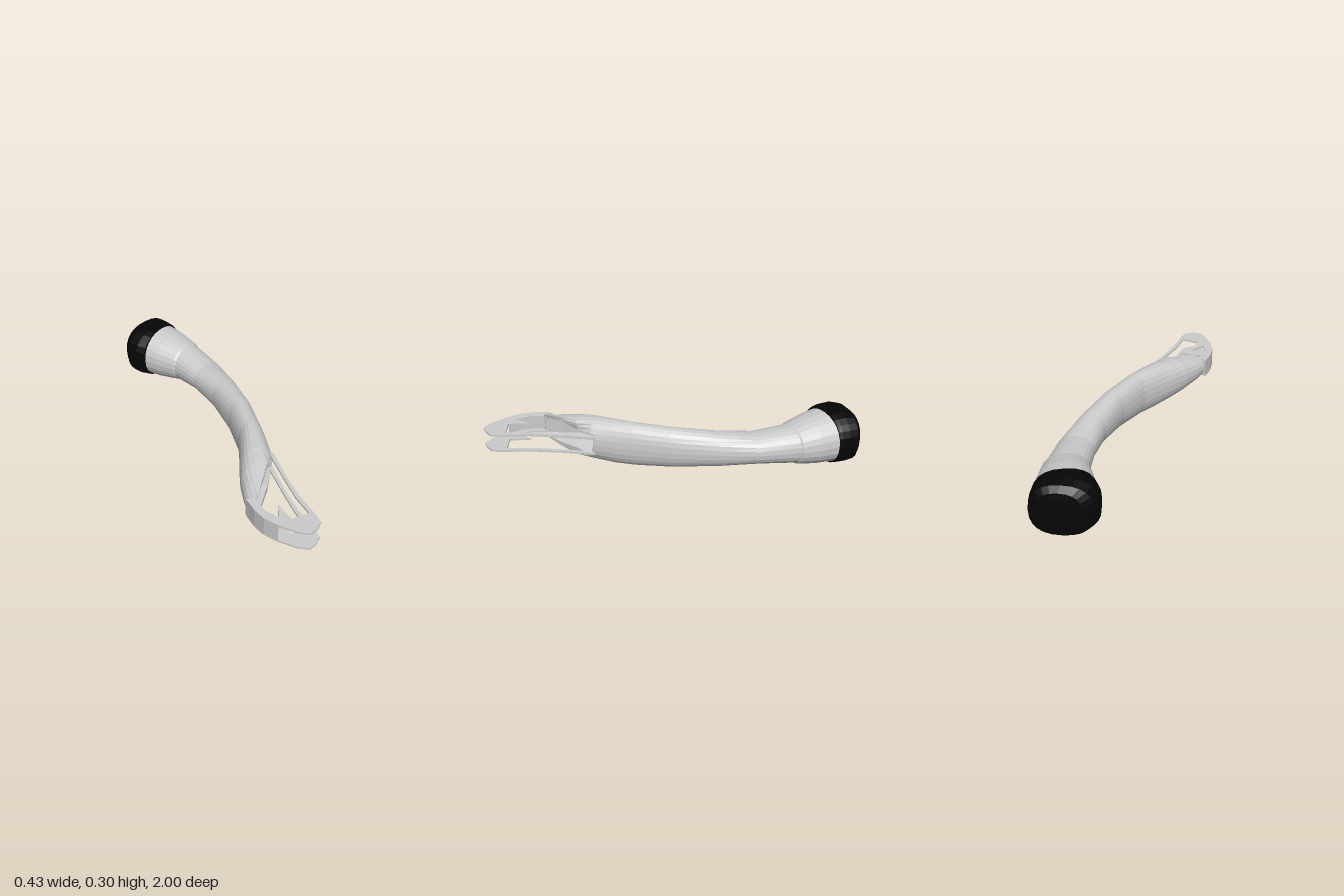
import * as THREE from 'three';

const grey = new THREE.MeshStandardMaterial({ color: 0xcccccc, flatShading: true, side: THREE.DoubleSide });
const black = new THREE.MeshStandardMaterial({ color: 0x060606, flatShading: true, side: THREE.DoubleSide });
const SIDES = 24;

// Loft through closed sections [leftX, leftZ, rightX, rightZ, bottom, top], back to front.
function loft(rows, power, adjust) {
  const pos = [], index = [];
  const soft = (v) => Math.sign(v) * Math.pow(Math.abs(v), power);
  for (const row of rows) {
    const [lx, lz, rx, rz, y0, y1] = row;
    for (let j = 0; j < SIDES; j++) {
      const a = (j / SIDES) * Math.PI * 2;
      const u = (soft(Math.cos(a)) + 1) / 2, v = (soft(Math.sin(a)) + 1) / 2;
      const p = new THREE.Vector3(lx + (rx - lx) * u, y0 + (y1 - y0) * v, lz + (rz - lz) * u);
      if (adjust) adjust(p, row);
      pos.push(p.x, p.y, p.z);
    }
  }
  const last = (rows.length - 1) * SIDES;
  for (let i = 0; i < last; i += SIDES) {
    for (let j = 0; j < SIDES; j++) {
      const k = (j + 1) % SIDES;
      const a = i + j, b = i + k, c = a + SIDES, d = b + SIDES;
      index.push(a, b, c, b, d, c);
    }
  }
  // end faces, bridged straight across from top to bottom
  for (const [start, front] of [[0, false], [last, true]]) {
    for (let j = 0; j < SIDES / 2; j++) {
      const a = start + j, b = start + j + 1;
      const c = start + (SIDES - j) % SIDES, d = start + SIDES - j - 1;
      if (front) index.push(a, b, c, b, d, c);
      else index.push(a, c, b, b, c, d);
    }
  }
  const g = new THREE.BufferGeometry();
  g.setAttribute('position', new THREE.Float32BufferAttribute(pos, 3));
  g.setIndex(index);
  g.computeVertexNormals();
  return g;
}

// Horizontal plate from an (x, z) outline, its top face at height y.
function plate(points, y, depth) {
  const shape = new THREE.Shape(points.map(([x, z]) => new THREE.Vector2(x, z)));
  const g = new THREE.ExtrudeGeometry(shape, { depth, bevelEnabled: false });
  return g.rotateX(Math.PI / 2).translate(0, y, 0);
}

export function createModel() {
  const model = new THREE.Group();
  const add = (name, geometry, material = grey) => {
    const mesh = new THREE.Mesh(geometry, material);
    mesh.name = name;
    model.add(mesh);
  };

  // Curved body, cut off diagonally at the front with a channel in the cut
  const body = [
    [-0.15, -0.73, 0.11, -0.89, 0.01, 0.29],
    [-0.11, -0.67, 0.145, -0.79, 0.02, 0.278],
    [-0.04, -0.58, 0.172, -0.69, 0.042, 0.255],
    [-0.028, -0.57, 0.168, -0.68, 0.05, 0.248],
    [0.02, -0.41, 0.206, -0.46, 0.07, 0.23],
    [0.05, -0.22, 0.208, -0.25, 0.058, 0.248],
    [0.047, 0, 0.187, 0, 0.04, 0.267],
    [0.012, 0.2, 0.15, 0.2, 0.028, 0.275],
    [-0.03, 0.3, 0.13, 0.3, 0.026, 0.275],
    [-0.08, 0.41, 0.104, 0.41, 0.034, 0.27],
    [-0.085, 0.42, 0.102, 0.42, 0.035, 0.268],
    [-0.12, 0.5, 0.1, 0.5, 0.045, 0.258],
    [-0.15, 0.6, 0.09, 0.6, 0.06, 0.238],
    [-0.166, 0.69, 0.05, 0.69, 0.08, 0.215],
  ];
  add('body', loft(body, 0.9, (p, row) => {
    if (row[1] < 0.415) return;
    const cut = 0.1 - (row[1] - 0.42) * 0.815;
    p.x = Math.min(p.x, cut);
    if (Math.abs(p.y - 0.147) < 0.052) p.x = Math.min(p.x, row[0] + 0.035);
  }));

  // Dark rounded cap on the back end
  add('endCap', loft([
    [-0.13, -0.945, 0.0, -0.99, 0.07, 0.23],
    [-0.175, -0.925, 0.04, -1.0, 0.035, 0.265],
    [-0.21, -0.88, 0.08, -0.985, 0.01, 0.29],
    [-0.22, -0.825, 0.1, -0.94, 0.0, 0.298],
    [-0.195, -0.77, 0.113, -0.9, 0.002, 0.297],
    [-0.157, -0.73, 0.115, -0.885, 0.006, 0.294],
  ], 0.82), black);

  // Upper and lower loops around the open front, each with a thin side rail
  const loop = [
    [-0.166, 0.67], [-0.165, 0.75], [-0.15, 0.82], [-0.11, 0.89], [-0.05, 0.965], [0, 1],
    [0.04, 0.985], [0.08, 0.95], [0.082, 0.88], [0.076, 0.75], [0.088, 0.58], [0.112, 0.4],
    [0.09, 0.4], [0.068, 0.6], [0.055, 0.75], [0.06, 0.875], [-0.035, 0.875], [-0.045, 0.76],
    [-0.085, 0.84], [-0.12, 0.77], [-0.125, 0.67],
  ];
  add('upperLoop', plate(loop, 0.2, 0.01));
  add('lowerLoop', plate(loop, 0.106, 0.01));

  // Wall that joins the loops on the outer side
  add('sideWall', plate([
    [-0.166, 0.66], [-0.165, 0.75], [-0.15, 0.82], [-0.11, 0.89],
    [-0.105, 0.88], [-0.138, 0.81], [-0.15, 0.75], [-0.15, 0.66],
  ], 0.195, 0.094));

  return model;
}
